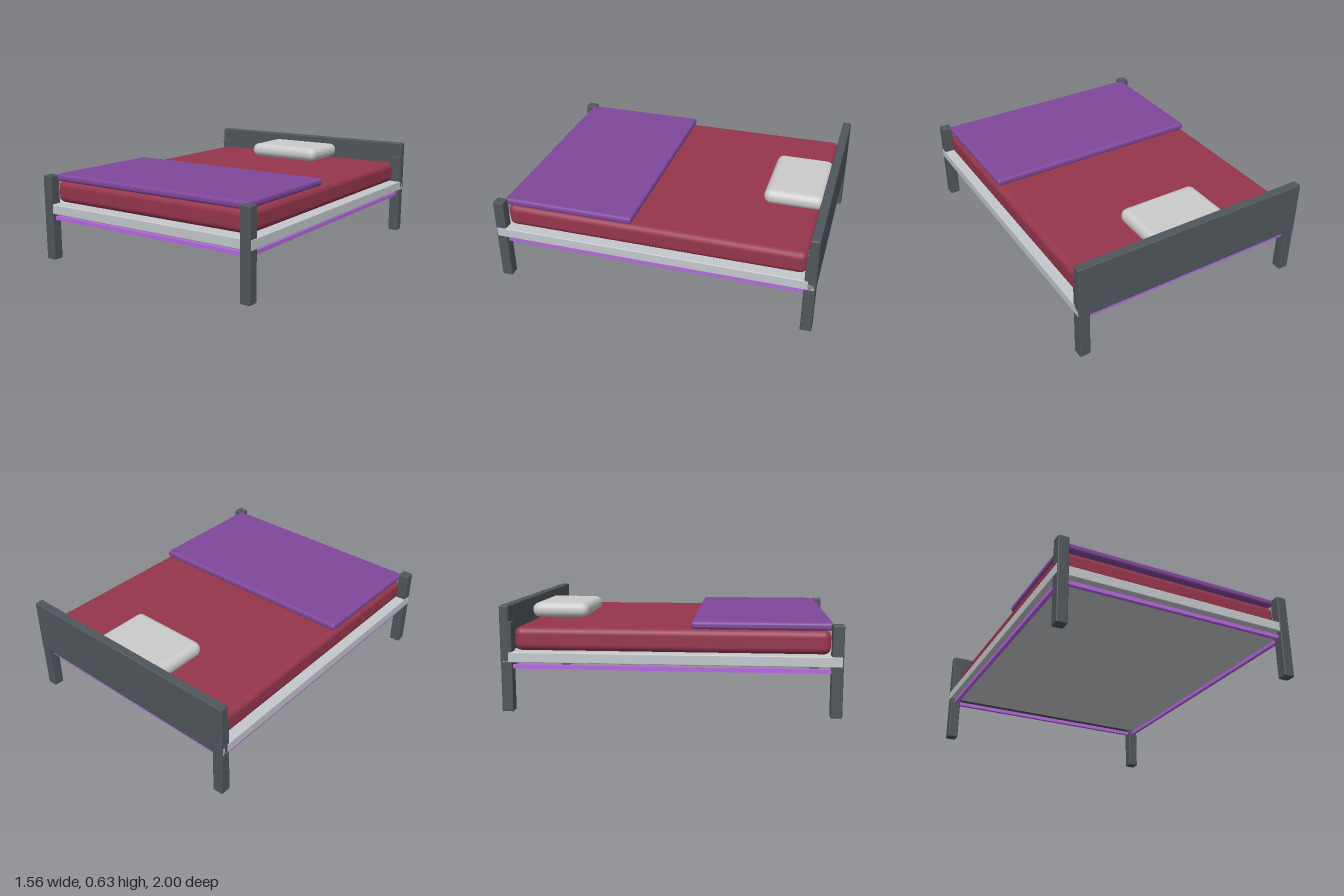
import * as THREE from 'three';
import { RoundedBoxGeometry } from 'three/addons/geometries/RoundedBoxGeometry.js';

const material = (color) => new THREE.MeshStandardMaterial({ color });

export function createModel() {
  const bed = new THREE.Group();
  bed.name = 'bed';

  const darkWood = material(0x50565c);
  const paleFrame = material(0xc4c8cc);
  const red = material(0x96364c);
  const purple = material(0x80489c);
  const glow = material(0xb468e0);
  const grey = material(0xcccccc);

  // Box given by its extents along each axis, with softened edges
  function block(name, mat, [x0, x1], [y0, y1], [z0, z1], radius, segments = 2) {
    const size = [x1 - x0, y1 - y0, z1 - z0];
    const geometry = radius
      ? new RoundedBoxGeometry(...size, segments, radius)
      : new THREE.BoxGeometry(...size);
    const mesh = new THREE.Mesh(geometry, mat);
    mesh.name = name;
    mesh.position.set((x0 + x1) / 2, (y0 + y1) / 2, (z0 + z1) / 2);
    bed.add(mesh);
    return mesh;
  }

  // Base slab and headboard
  block('frame', paleFrame, [-0.778, 0.778], [0.297, 0.36], [-0.995, 0.995], 0.006);
  block('headboard', darkWood, [-0.778, 0.778], [0.296, 0.635], [-1, -0.945], 0.008);

  // Corner posts
  for (const x of [-0.742, 0.742]) {
    for (const z of [-0.965, 0.966]) {
      block(z > 0 ? 'frontPost' : 'backPost', darkWood,
        [x - 0.034, x + 0.034], [0, 0.54], [z - 0.034, z + 0.034], 0.007);
    }
  }

  // Light strip running between the posts under the frame
  const t = 0.012;
  for (const side of [-1, 1]) {
    const x = side * 0.742, z = side * 0.962;
    block('sideLightStrip', glow, [x - t, x + t], [0.257, 0.281], [-0.962, 0.962], 0);
    block('endLightStrip', glow, [-0.742, 0.742], [0.257, 0.281], [z - t, z + t], 0);
  }

  // Bedding
  block('mattress', red, [-0.73, 0.73], [0.36, 0.5], [-0.932, 0.932], 0.04, 4);
  block('blanket', purple, [-0.722, 0.722], [0.5, 0.546], [0.122, 0.946], 0.018, 3);
  block('pillow', grey, [-0.265, 0.265], [0.5, 0.595], [-0.95, -0.58], 0.045, 4);

  return bed;
}
